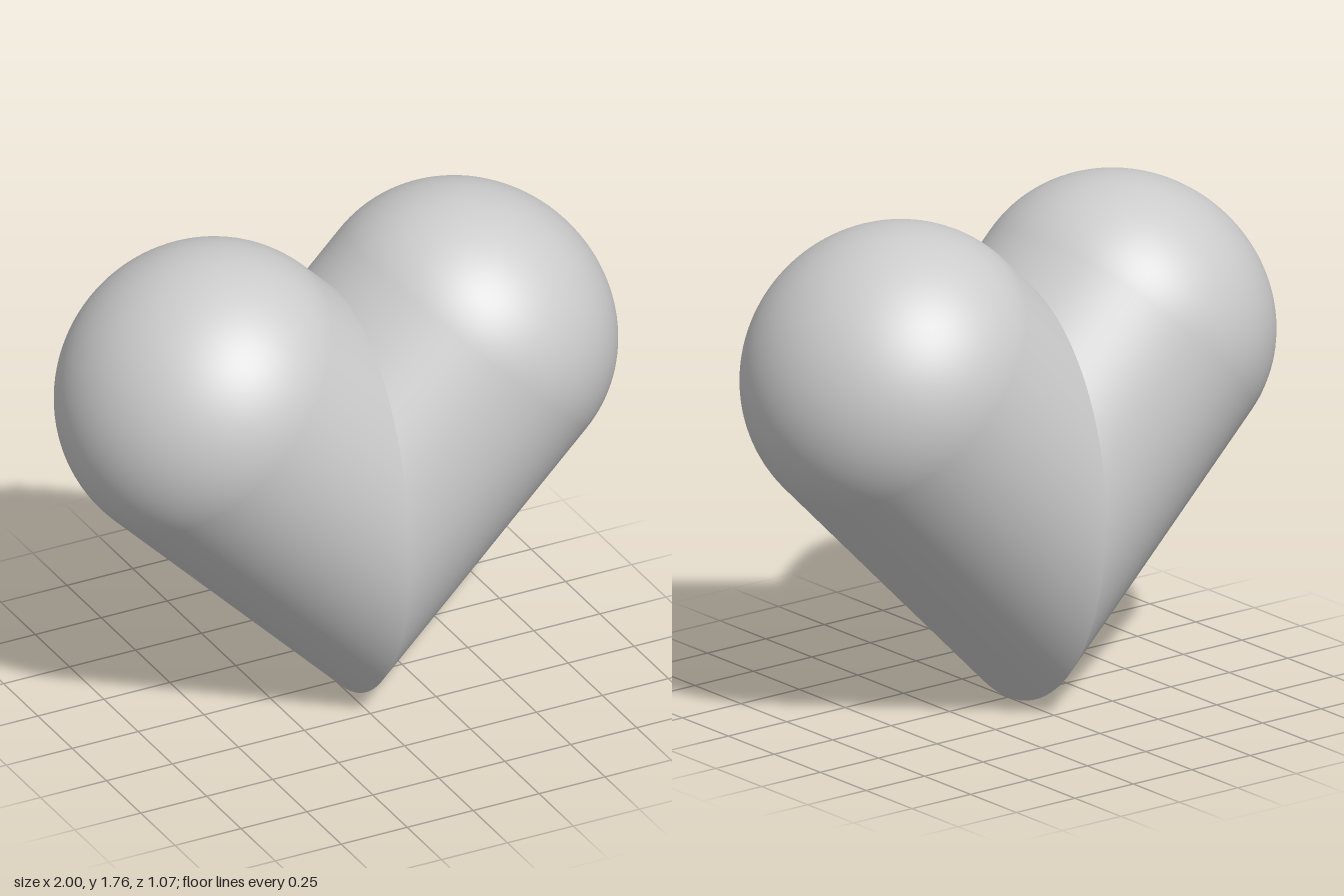
import * as THREE from 'three';

const RADIUS = 0.534;         // tube radius
const AXIS_Y = 0.755;         // height where the two tube axes meet
const LENGTH = 0.482 * Math.SQRT2; // axis length up to the rounded end
const CAP = RADIUS * 0.94;    // height of the slightly flattened dome

// One tube with a domed end, its base mitred at 45 degrees
function lobeGeometry() {
  const profile = [new THREE.Vector2(RADIUS, 0)];
  const steps = 32;
  for (let i = 0; i <= steps; i++) {
    const a = (i / steps) * Math.PI / 2;
    const r = i === steps ? 0 : RADIUS * Math.cos(a);
    profile.push(new THREE.Vector2(r, LENGTH + CAP * Math.sin(a)));
  }
  const geometry = new THREE.LatheGeometry(profile, 96);

  // Slide the base ring along the tube so it lands on the centre plane
  const pos = geometry.attributes.position;
  for (let i = 0; i < pos.count; i++) {
    if (pos.getY(i) === 0) pos.setY(i, -pos.getX(i));
  }
  geometry.rotateZ(-Math.PI / 4);
  geometry.translate(0, AXIS_Y, 0);
  return geometry;
}

export function createModel() {
  const heart = new THREE.Group();
  heart.name = 'heart';
  const material = new THREE.MeshStandardMaterial({ color: 0xcccccc });
  const geometry = lobeGeometry();

  // Two halves, the right one turned half way round
  for (const [name, turn] of [['leftLobe', 0], ['rightLobe', Math.PI]]) {
    const lobe = new THREE.Mesh(geometry, material);
    lobe.name = name;
    lobe.rotation.y = turn;
    heart.add(lobe);
  }
  return heart;
}
